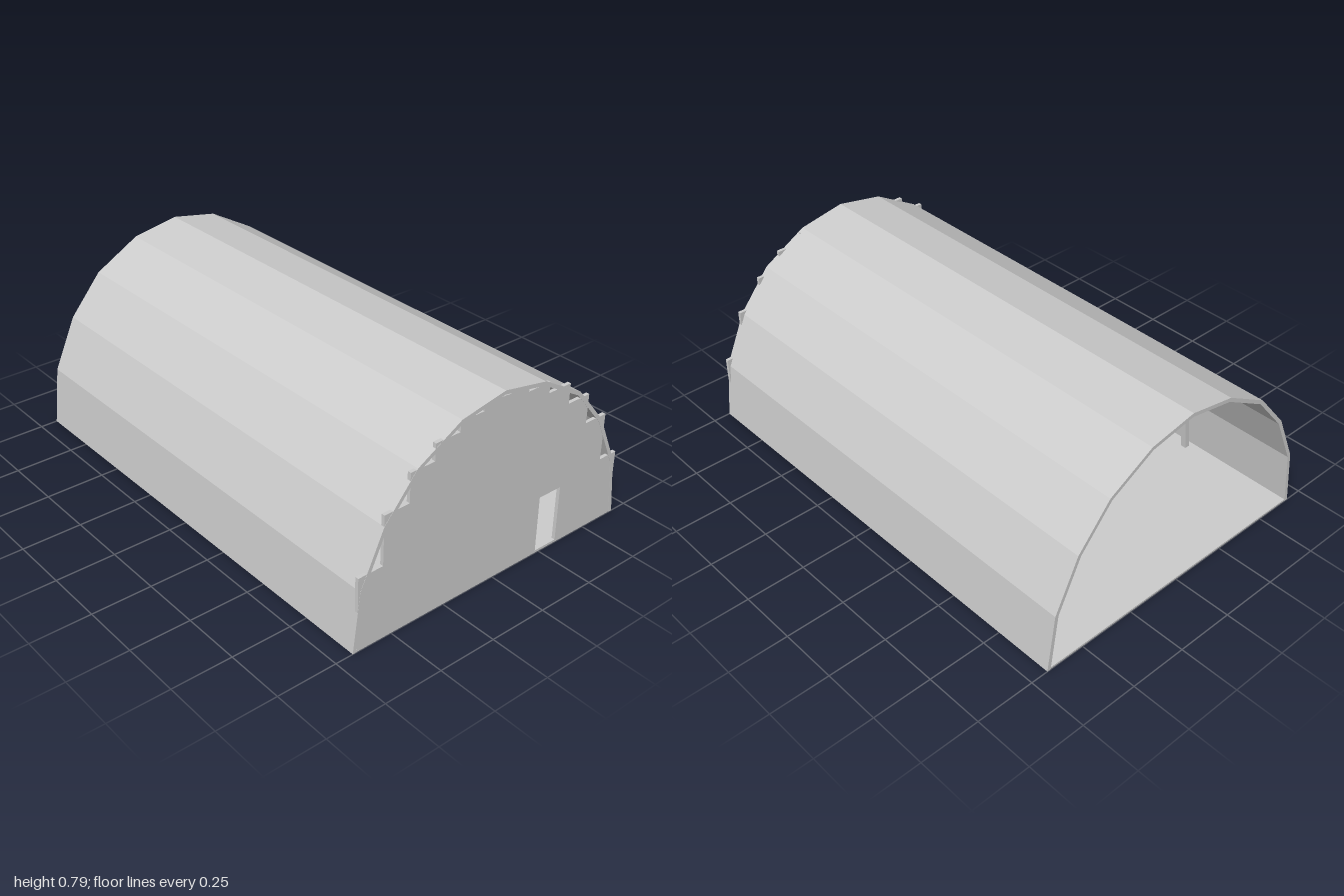
import * as THREE from 'three';

// right half of the arch outline, from the ground up to the ridge
const HALF = [[0.675, 0], [0.645, 0.25], [0.545, 0.47], [0.402, 0.64], [0.205, 0.752], [0, 0.79]];
const ARCH = [...HALF, ...HALF.slice(0, -1).reverse().map(([x, y]) => [-x, y])]
  .map(([x, y]) => new THREE.Vector2(x, y));

// arch outline moved inward by d, with mitred corners
function inset(d) {
  const normal = (a, b) => new THREE.Vector2(a.y - b.y, b.x - a.x).normalize();
  const last = ARCH.length - 1;
  return ARCH.map((p, i) => {
    if (i === 0 || i === last) return new THREE.Vector2(p.x - Math.sign(p.x) * d, 0);
    const n1 = normal(ARCH[i - 1], p), n2 = normal(p, ARCH[i + 1]);
    const m = n1.clone().add(n2).normalize();
    return p.clone().addScaledVector(m, d / m.dot(n1));
  });
}

function extrude(shape, depth, z) {
  return new THREE.ExtrudeGeometry(shape, { depth, bevelEnabled: false }).translate(0, 0, z);
}

// arched band between two insets
function band(outer, inner, depth, z) {
  return extrude(new THREE.Shape([...inset(outer), ...inset(inner).reverse()]), depth, z);
}

export function createModel() {
  const group = new THREE.Group();
  const steel = new THREE.MeshStandardMaterial({ color: 0xcccccc });
  steel.name = 'grey steel';
  const add = (name, geometry) => {
    const mesh = new THREE.Mesh(geometry, steel);
    mesh.name = name;
    group.add(mesh);
  };

  // vaulted roof, open at the back
  add('roofShell', band(0, 0.016, 2, -1));

  // floor slab
  add('floor', new THREE.BoxGeometry(1.34, 0.008, 1.998).translate(0, 0.004, 0));

  // supporting arches
  [-0.5, 0, 0.5].forEach((z, i) => add('archRib' + (i + 1), band(0.04, 0.062, 0.025, z - 0.0125)));

  // stepped front wall: edges and heights of its upright panels
  const edges = [-0.655, -0.545, -0.433, -0.323, -0.21, -0.1, 0.01, 0.12, 0.23, 0.343, 0.455, 0.565, 0.655];
  const tops = [0.31, 0.515, 0.635, 0.705, 0.745, 0.769, 0.767, 0.741, 0.695, 0.61, 0.485, 0.283];
  const wall = new THREE.Shape();
  wall.moveTo(edges[0], 0.002);
  tops.forEach((top, i) => {
    wall.lineTo(edges[i], top);
    wall.lineTo(edges[i + 1], top);
  });
  wall.lineTo(edges[12], 0.002);
  wall.closePath();

  // doorway
  wall.holes.push(new THREE.Path([[0.232, 0.01], [0.343, 0.01], [0.343, 0.25], [0.232, 0.25]]
    .map(([x, y]) => new THREE.Vector2(x, y))));
  add('frontWall', extrude(wall, 0.015, 0.984));

  return group;
}
